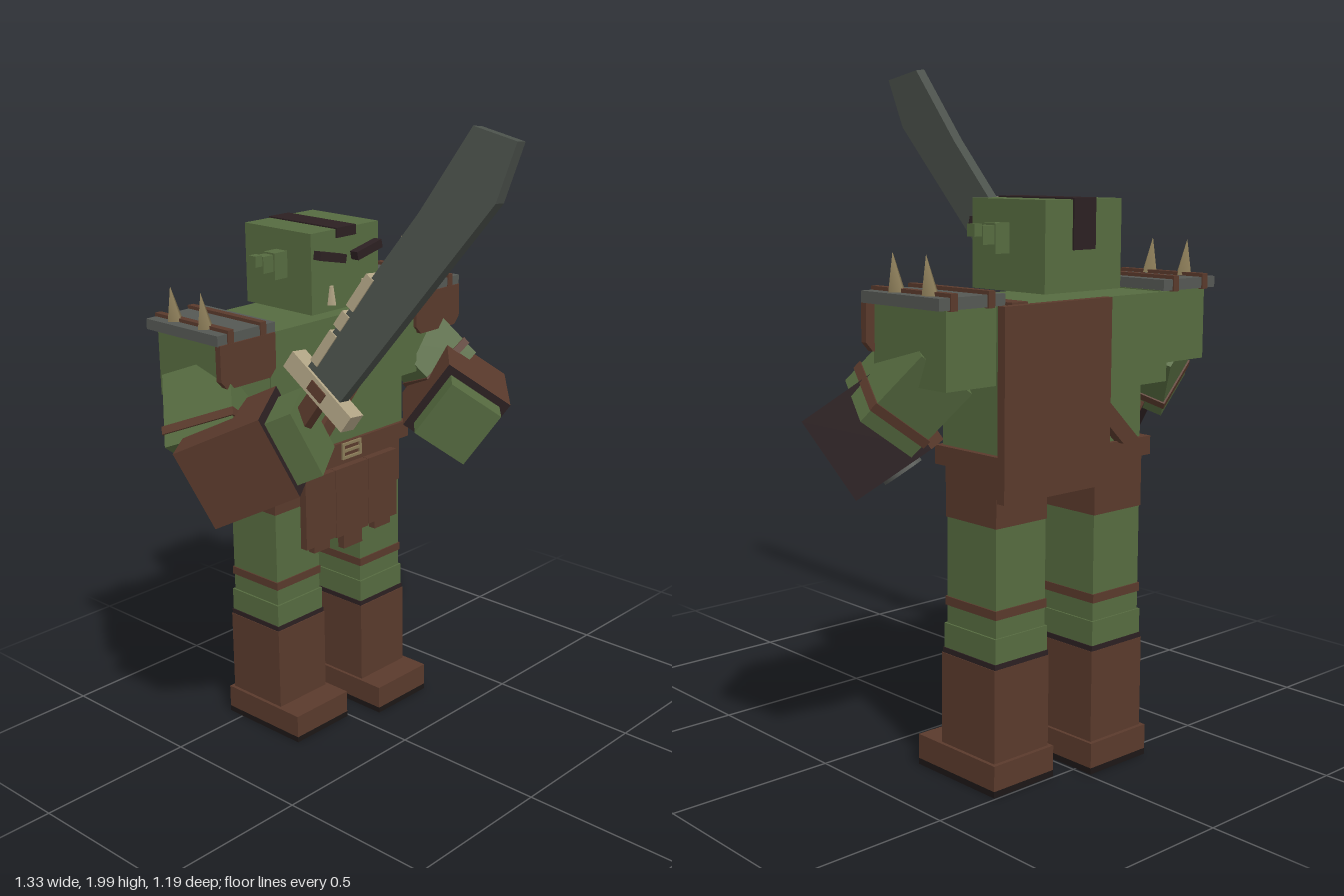
import * as THREE from 'three';

const CX = 0.033; // body midline
const material = (name, color, side = THREE.FrontSide) => {
  const m = new THREE.MeshStandardMaterial({ color, side });
  m.name = name;
  return m;
};

export function createModel() {
  const M = {
    skin: material('green skin', 0x566b40),
    leather: material('brown leather', 0x5a3a2c),
    dark: material('dark lining', 0x2c2022),
    sole: material('black sole', 0x1c1716),
    metal: material('grey metal', 0x555854),
    bone: material('pale bone', 0xb0a384),
    spike: material('tan horn', 0x8b7c58),
    blade: material('blade steel', 0x4b514b),
  };
  const root = new THREE.Group();
  root.name = 'greenWarrior';

  const add = (name, geo, mat, parent = root) => {
    const mesh = new THREE.Mesh(geo, mat);
    mesh.name = name;
    parent.add(mesh);
    return mesh;
  };
  // box from its minimum and maximum on each axis
  const box = (name, mat, x0, x1, y0, y1, z0, z1, parent = root) => {
    const mesh = add(name, new THREE.BoxGeometry(x1 - x0, y1 - y0, z1 - z0), mat, parent);
    mesh.position.set((x0 + x1) / 2, (y0 + y1) / 2, (z0 + z1) / 2);
    return mesh;
  };
  // box reaching between two distances from the midline, on the given side
  const sideBox = (name, mat, s, a, b, y0, y1, z0, z1) =>
    box(name, mat, CX + Math.min(s * a, s * b), CX + Math.max(s * a, s * b), y0, y1, z0, z1);
  // group with its own axes
  const frame = (name, center, xDir, yDir) => {
    const g = new THREE.Group();
    g.name = name;
    const x = new THREE.Vector3(...xDir).normalize();
    const z = x.clone().cross(new THREE.Vector3(...yDir)).normalize();
    g.quaternion.setFromRotationMatrix(new THREE.Matrix4().makeBasis(x, z.clone().cross(x), z));
    g.position.set(...center);
    root.add(g);
    return g;
  };
  const extrude = (points, depth) => {
    const shape = new THREE.Shape(points.map(([x, y]) => new THREE.Vector2(x, y)));
    return new THREE.ExtrudeGeometry(shape, { depth, bevelEnabled: false }).translate(0, 0, -depth / 2);
  };

  // torso
  box('chest', M.skin, -0.285, 0.355, 1.09, 1.342, -0.565, -0.265);
  box('waist', M.skin, -0.205, 0.285, 0.93, 1.09, -0.542, -0.267);
  box('belt', M.leather, -0.235, 0.303, 0.887, 0.94, -0.555, -0.255);
  box('hips', M.leather, -0.215, 0.281, 0.82, 0.89, -0.54, -0.275);
  for (const y of [0.89, 0.912, 0.934]) box('buckleBar', M.spike, -0.007, 0.077, y - 0.004, y + 0.004, -0.256, -0.248);
  for (const x of [-0.003, 0.073]) box('buckleSide', M.spike, x - 0.004, x + 0.004, 0.89, 0.934, -0.256, -0.248);

  // strap across chest, shoulder and back
  const strapAngle = Math.atan2(0.4, 0.43);
  for (const z of [-0.259, -0.557]) {
    const strap = extrude([[0.25, 1.342], [0.32, 1.342], [-0.105, 0.935], [-0.175, 0.935]], z > -0.4 ? 0.018 : 0.032);
    add('chestStrap', strap, M.leather).position.z = z;
  }
  box('shoulderStrap', M.leather, 0.265, 0.32, 1.335, 1.35, -0.572, -0.25);
  box('backBoard', M.leather, -0.02, 0.37, 0.84, 1.345, -0.6, -0.574);

  // loincloth with stepped hems
  for (const [a, b, y] of [
    [-0.17, -0.138, 0.635], [-0.138, -0.07, 0.615], [-0.07, -0.04, 0.64],
    [-0.038, -0.007, 0.635], [-0.007, 0.077, 0.59], [0.077, 0.107, 0.635],
    [0.109, 0.136, 0.64], [0.136, 0.208, 0.615], [0.208, 0.24, 0.635],
  ]) box('loincloth', M.leather, a, b, y, 0.86, -0.275, -0.25);

  // head
  box('head', M.skin, -0.11, 0.178, 1.36, 1.602, -0.545, -0.267);
  box('hairTop', M.dark, -0.006, 0.077, 1.6, 1.606, -0.55, -0.262);
  box('hairFront', M.dark, -0.006, 0.077, 1.576, 1.606, -0.27, -0.262);
  box('hairBack', M.dark, -0.006, 0.077, 1.47, 1.606, -0.55, -0.542);
  for (const s of [-1, 1]) {
    const brow = box('brow', M.dark, -0.055, 0.055, -0.013, 0.013, -0.268, -0.238);
    brow.position.x = CX + s * 0.078;
    brow.position.y = 1.527;
    brow.rotation.z = s * 0.22;
    const tusk = add('tusk', new THREE.CylinderGeometry(0.008, 0.018, 0.055, 4), M.bone);
    tusk.position.set(CX + s * 0.069, 1.41, -0.258);
    sideBox('earRoot', M.skin, s, 0.14, 0.195, 1.46, 1.54, -0.412, -0.366);
    sideBox('earMiddle', M.skin, s, 0.195, 0.235, 1.485, 1.535, -0.407, -0.371);
    sideBox('earTip', M.skin, s, 0.235, 0.262, 1.507, 1.54, -0.403, -0.375);
  }

  // legs, the left one a step forward
  for (const s of [-1, 1]) {
    const dz = s > 0 ? 0 : -0.063;
    const part = (name, mat, a, b, y0, y1, z0, z1) => sideBox(name, mat, s, a, b, y0, y1, z0 + dz, z1 + dz);
    part('thigh', M.skin, 0.062, 0.246, 0.43, 0.75, -0.474, -0.278);
    part('trouserLeg', M.leather, 0.06, 0.249, 0.74, 0.885, -0.477, -0.275);
    part('kneeStrap', M.leather, 0.06, 0.25, 0.49, 0.515, -0.478, -0.274);
    part('calf', M.skin, 0.057, 0.252, 0.36, 0.438, -0.479, -0.272);
    part('bootCuff', M.dark, 0.054, 0.255, 0.352, 0.368, -0.481, -0.27);
    part('boot', M.leather, 0.053, 0.257, 0.08, 0.353, -0.482, -0.267);
    part('foot', M.leather, 0.043, 0.268, 0.018, 0.09, -0.494, -0.18);
    part('sole', M.sole, 0.043, 0.268, 0, 0.018, -0.494, -0.18);
  }

  // shoulders
  for (const s of [-1, 1]) {
    sideBox('shoulder', M.skin, s, 0.3, 0.49, 1.14, 1.345, -0.552, -0.27);
    sideBox('shoulderPlate', M.metal, s, 0.302, 0.522, 1.343, 1.374, -0.563, -0.258);
    const apron = extrude([[0.307, 1.345], [0.518, 1.345], [0.518, 1.24], [0.495, 1.215], [0.33, 1.215], [0.307, 1.24]]
      .map(([x, y]) => [CX + s * x, y]), 0.02);
    add('shoulderApron', apron, M.leather).position.z = -0.263;
    for (const a of [0.34, 0.464]) sideBox('plateStrap', M.leather, s, a, a + 0.022, 1.34, 1.384, -0.567, -0.254);
    for (const z of [-0.483, -0.353]) {
      const spike = add('shoulderSpike', new THREE.ConeGeometry(0.028, 0.105, 4), M.spike);
      spike.position.set(CX + s * 0.488, 1.425, z);
      spike.rotation.z = s * -0.12;
    }
  }

  // elbows, bracers and hands
  const arms = [
    { s: 1, elbow: [0.47, 1.12, -0.335], bracer: [0.46, 0.988, -0.19], axis: [-0.74, -0.09, 0.67], up: [-0.587, 0.577, -0.571] },
    { s: -1, elbow: [-0.44, 1.12, -0.345], bracer: [-0.46, 1.03, -0.19], axis: [0.476, 0.417, 0.774], up: [-1.186, -0.174, 0.728] },
  ];
  for (const { s, elbow, bracer, axis, up } of arms) {
    const e = frame('elbow', elbow, [s * 0.44, -0.73, 0.52], [s * 0.43, -0.34, -0.84]);
    box('upperArm', M.skin, -0.12, 0.11, -0.11, 0.11, -0.09, 0.09, e);
    box('elbowStrap', M.leather, 0.045, 0.07, -0.115, 0.115, -0.095, 0.095, e);
    const f = frame('forearm', bracer, axis, up);
    const L = M.leather;
    box('bracer', [M.dark, M.dark, L, L, L, L], -0.135, 0.135, -0.12, 0.12, -0.125, 0.125, f);
    box('hand', M.skin, 0.12, 0.215, -0.095, 0.095, -0.1, 0.1, f);
    const disc = add('bracerDisc', new THREE.CylinderGeometry(0.06, 0.06, 0.012, 8), M.metal, f);
    disc.rotation.x = Math.PI / 2;
    disc.position.z = 0.13;
  }

  // sword: local y runs along the blade, local x toward the cutting edge
  const sword = frame('sword', [-0.37, 1.25, 0.03], [0, -0.555, 0.83], [0.135, 0.82, 0.55]);
  add('blade', extrude([
    [-0.07, 0.02], [0.072, 0.02], [0.08, 0.13], [0.12, 0.755],
    [0.074, 0.908], [-0.05, 0.857], [-0.044, 0.59],
  ], 0.036), M.blade, sword);
  for (const [a, b] of [[0.05, 0.16], [0.18, 0.23], [0.25, 0.36]])
    box('spineInlay', M.bone, -0.073, -0.044, a, b, -0.022, 0.022, sword);
  box('guard', M.bone, -0.13, 0.13, -0.028, 0.028, -0.027, 0.027, sword);
  box('guardInset', M.leather, -0.03, 0.03, -0.016, 0.016, -0.031, 0.031, sword);
  box('grip', M.leather, -0.025, 0.025, -0.32, -0.02, -0.02, 0.02, sword);
  box('pommel', M.bone, -0.035, 0.035, -0.37, -0.32, -0.027, 0.027, sword);

  return root;
}
